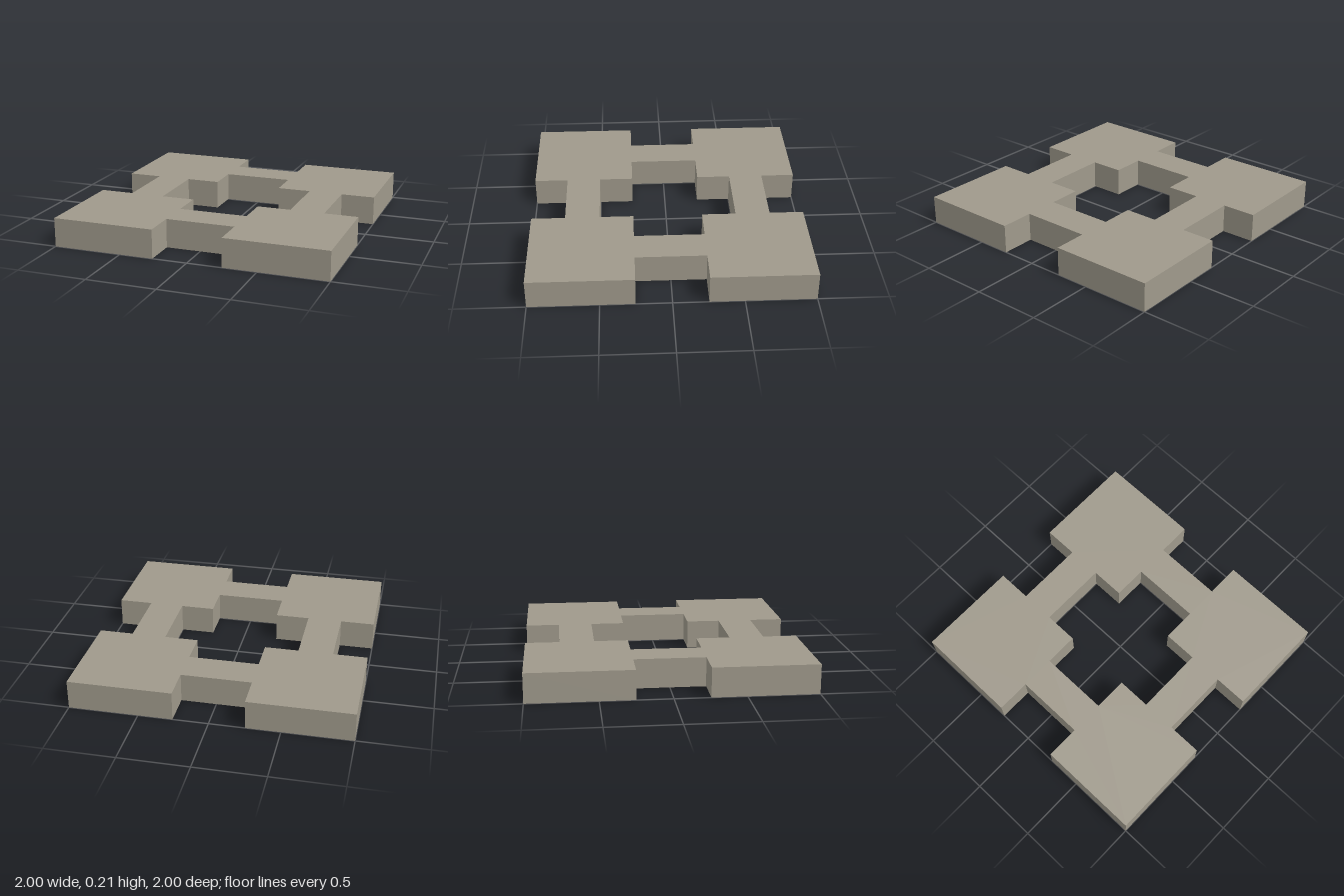
import * as THREE from 'three';

const HEIGHT = 0.21;
const TILE = 0.253; // inner edge of the corner tiles
const ARM_IN = 0.5, ARM_OUT = 0.752; // edges of the connecting bars

// Repeat one corner's points around the centre in quarter turns
function fourfold(points) {
  const out = [];
  for (let i = 0; i < 4; i++) {
    for (const [x, y] of points) {
      out.push(new THREE.Vector2(x, y).rotateAround(new THREE.Vector2(), i * Math.PI / 2));
    }
  }
  return out;
}

export function createModel() {
  const group = new THREE.Group();
  group.name = 'squareFrame';

  const stone = new THREE.MeshStandardMaterial({ color: 0x9f998b });
  stone.name = 'warm grey stone';

  // Four square corner tiles joined by narrow bars
  const outline = new THREE.Shape(fourfold([
    [ARM_OUT, TILE], [1, TILE], [1, 1], [TILE, 1], [TILE, ARM_OUT],
  ]));

  // Cross-shaped central opening
  outline.holes.push(new THREE.Path(fourfold([
    [ARM_IN, TILE], [TILE, TILE], [TILE, ARM_IN],
  ])));

  const geometry = new THREE.ExtrudeGeometry(outline, { depth: HEIGHT, bevelEnabled: false });
  geometry.rotateX(-Math.PI / 2);

  const slab = new THREE.Mesh(geometry, stone);
  slab.name = 'frameSlab';
  group.add(slab);
  return group;
}
